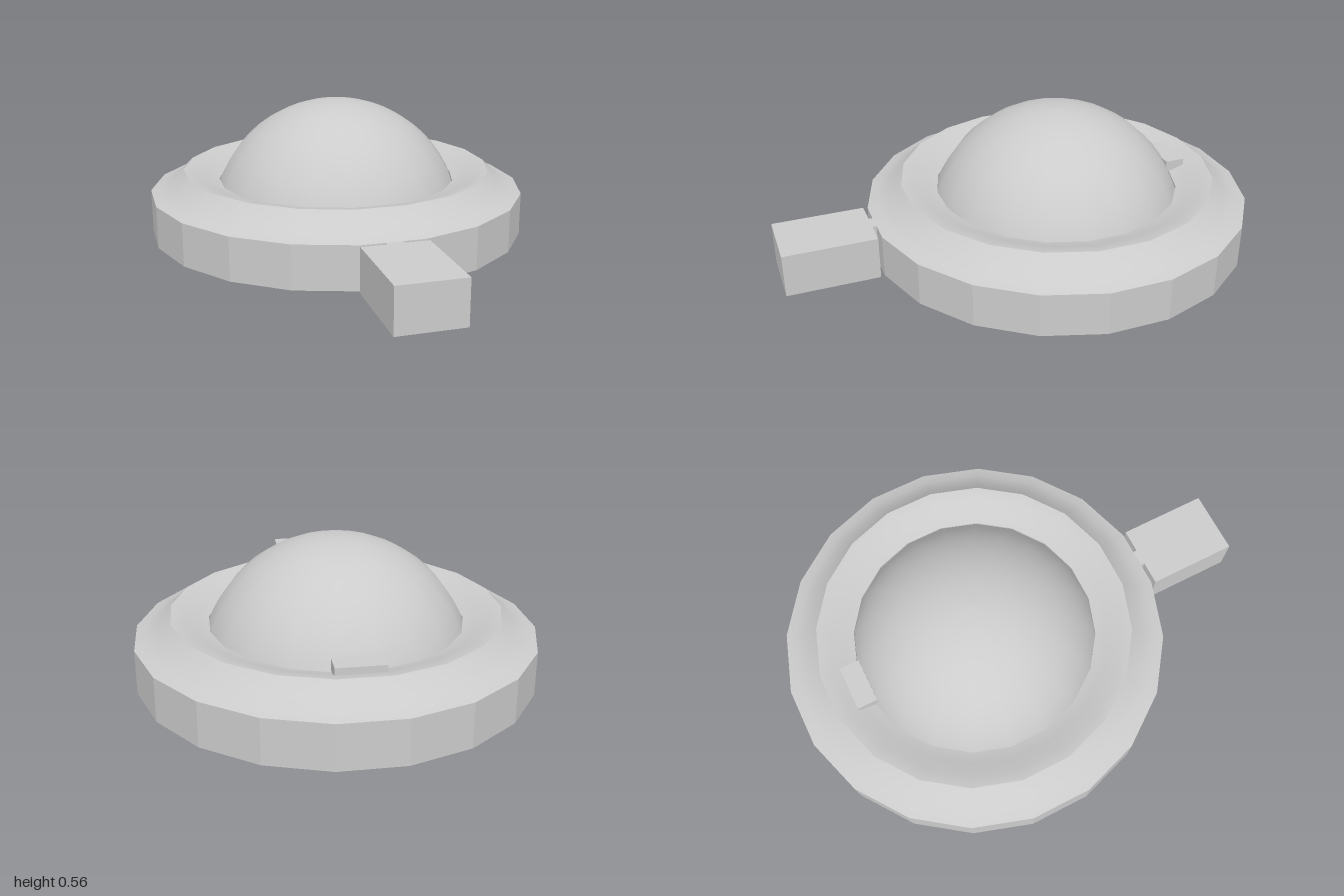
import * as THREE from 'three';

const SIDES = 20;
const STEP = (Math.PI * 2) / SIDES;
const mat = new THREE.MeshStandardMaterial({ color: 0xcccccc, side: THREE.DoubleSide });

export function createModel() {
  const model = new THREE.Group();
  // Everything round shares one axis, set back from the connector.
  const round = new THREE.Group();
  round.name = 'roundBody';
  round.position.z = -0.2;
  model.add(round);

  function add(parent, name, geometry) {
    const mesh = new THREE.Mesh(geometry, mat);
    mesh.name = name;
    parent.add(mesh);
    return mesh;
  }

  // Faceted ring; "first" is the facet it starts at, facet 0 faces the front.
  function ring(name, profile, { first = 0, count = SIDES, flat = false } = {}) {
    const points = profile.map(([r, y]) => new THREE.Vector2(r, y));
    let geo = new THREE.LatheGeometry(points, count, (first - 0.5) * STEP, count * STEP);
    if (flat) {
      geo = geo.toNonIndexed();
      geo.computeVertexNormals();
    }
    return add(round, name, geo);
  }

  // Flat panel from four corners, counter-clockwise as seen from outside.
  function panel(parent, name, a, b, c, d) {
    const geo = new THREE.BufferGeometry();
    geo.setAttribute('position', new THREE.Float32BufferAttribute([a, b, c, a, c, d].flat(), 3));
    geo.computeVertexNormals();
    add(parent, name, geo);
  }

  function box(parent, name, w, h, d, x, y, z) {
    add(parent, name, new THREE.BoxGeometry(w, h, d)).position.set(x, y, z);
  }

  // Outer wall, leaving the front facet for the cable opening
  const R = 0.813, H = 0.18;
  ring('outerWall', [[R, 0], [R, H]], { first: 1, count: SIDES - 1, flat: true });

  // Flared shoulder, crown and the shallow dip towards the dome
  ring('shoulder', [[R, H], [0.77, 0.193], [0.72, 0.22], [0.668, 0.27]]);
  ring('crown', [[0.668, 0.27], [0.62, 0.262], [0.565, 0.235], [0.516, 0.222]]);
  ring('crownLip', [[0.516, 0.2], [0.516, 0.222]], { flat: true });

  // Guide sleeve around the dome, slotted at front and back
  for (const first of [1, 11]) {
    ring('guideSleeve', [[0.56, 0.21], [0.56, 0], [0.573, 0], [0.573, 0.235]],
      { first, count: 9, flat: true });
  }

  // Dome button
  const domeR = 0.554, domeBase = 0.011;
  const arc = [];
  for (let i = 0; i <= 14; i++) {
    const a = (i / 14) * Math.PI / 2;
    arc.push([domeR * Math.cos(a), domeBase + domeR * Math.sin(a)]);
  }
  ring('dome', arc);

  // Stepped underside of the dome with a recessed centre
  const steps = [[0.47, 0.22]];
  for (const [r, y] of [[0.47, 0.13], [0.43, 0.09], [0.39, 0.045], [0.35, 0]]) {
    steps.push([r, y], [r - 0.04, y]);
  }
  steps[steps.length - 1] = [0.33, 0];
  ring('domeSteps', steps, { flat: true });
  ring('centreWall', [[0.33, 0.1], [0.33, 0]], { flat: true });
  ring('centrePlate', [[0.33, 0.1], [0.25, 0.115], [0.13, 0.127], [0, 0.13]]);

  // Catch at the back and clip inside the front slot
  box(model, 'backCatch', 0.19, 0.2, 0.085, 0, 0.17, -0.7325);
  box(model, 'frontClip', 0.16, 0.14, 0.06, 0, 0.11, 0.31);

  // Hollow connector, neck and the wall beside the cable opening
  const W = 0.135, N = 0.035, Z0 = 0.603, Z1 = 0.62, Z2 = 1;
  const halfFacet = R * Math.sin(STEP / 2);
  for (const s of [-1, 1]) {
    panel(model, 'frontWall', [s * N, 0, Z0], [s * halfFacet, 0, Z0],
      [s * halfFacet, H, Z0], [s * N, H, Z0]);
    panel(model, 'neckSide', [s * N, 0, Z1], [s * N, 0, Z0], [s * N, H, Z0], [s * N, H, Z1]);
    panel(model, 'connectorBack', [s * W, 0, Z1], [s * N, 0, Z1], [s * N, H, Z1], [s * W, H, Z1]);
    panel(model, 'connectorSide', [s * W, 0, Z2], [s * W, 0, Z1], [s * W, H, Z1], [s * W, H, Z2]);
  }
  panel(model, 'neckTop', [-N, H, Z1], [N, H, Z1], [N, H, Z0], [-N, H, Z0]);
  panel(model, 'connectorTop', [-W, H, Z2], [W, H, Z2], [W, H, Z1], [-W, H, Z1]);
  panel(model, 'connectorFront', [-W, 0, Z2], [W, 0, Z2], [W, H, Z2], [-W, H, Z2]);

  return model;
}
